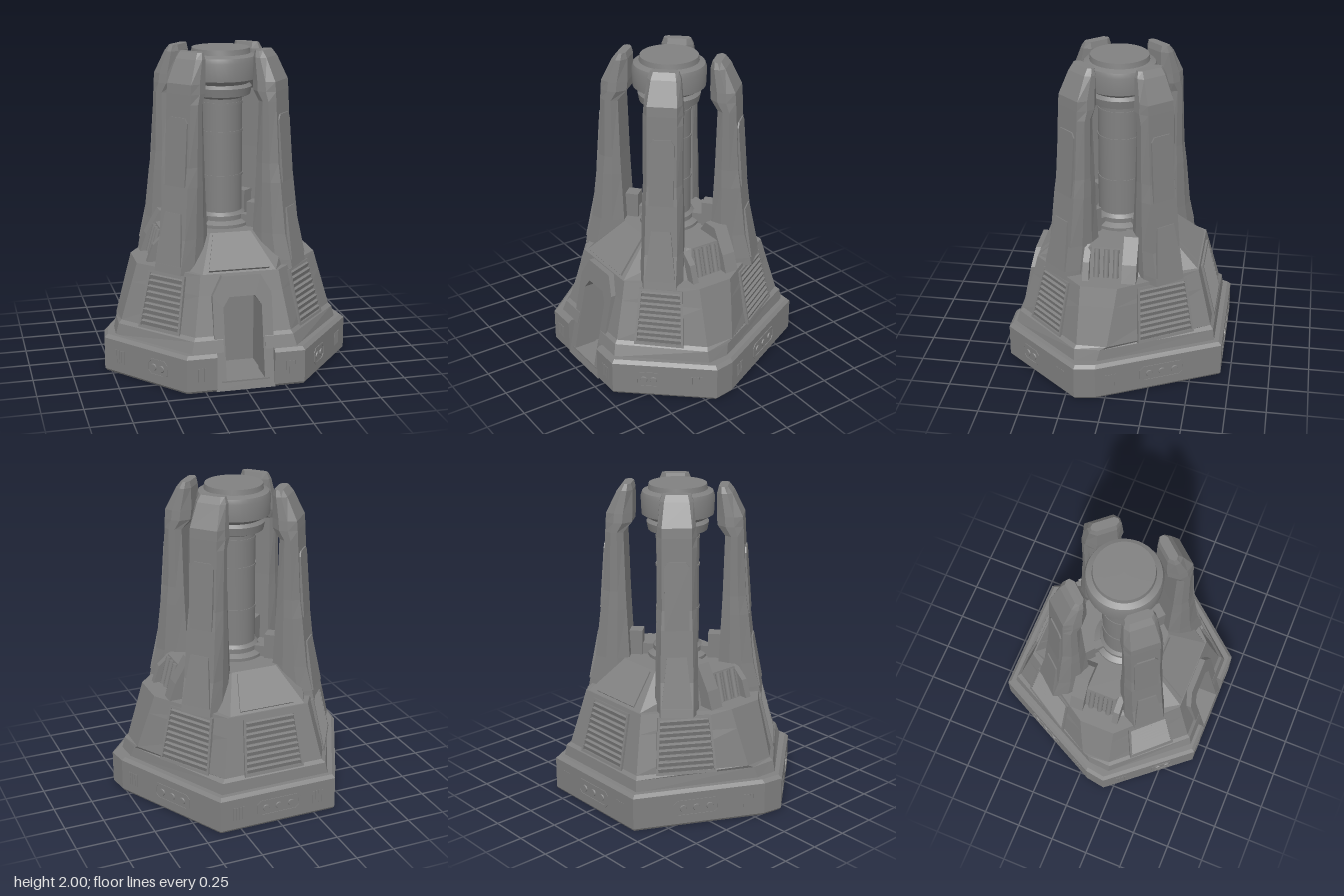
import * as THREE from 'three';
import { toCreasedNormals } from 'three/addons/utils/BufferGeometryUtils.js';

const metal = new THREE.MeshStandardMaterial({ color: 0x808080 });
metal.name = 'grey metal';

const V = (x, y, z) => new THREE.Vector3(x, y, z);
const mirror = (half) => [...half, ...half.map(([x, z]) => [-x, z]).reverse()];

function add(parent, geometry, name, x = 0, y = 0, z = 0) {
  const mesh = new THREE.Mesh(geometry, metal);
  mesh.name = name;
  mesh.position.set(x, y, z);
  parent.add(mesh);
  return mesh;
}

// Joins mirrored cross-sections [y, half outline of [x, z]] with flat sides and caps
function loft(rows) {
  const rings = rows.map(([y, half]) => mirror(half).map(([x, z]) => V(x, y, z)));
  const out = [];
  const tri = (...pts) => pts.forEach((p) => out.push(p.x, p.y, p.z));
  for (let k = 0; k < rings.length - 1; k++) {
    const lo = rings[k], hi = rings[k + 1], n = lo.length;
    for (let i = 0; i < n; i++) {
      const j = (i + 1) % n;
      tri(lo[i], lo[j], hi[j]);
      tri(lo[i], hi[j], hi[i]);
    }
  }
  const cap = (ring, up) => {
    const flat = ring.map((p) => new THREE.Vector2(p.x, -p.z));
    for (const [a, b, c] of THREE.ShapeUtils.triangulateShape(flat, [])) {
      if (up) tri(ring[a], ring[b], ring[c]);
      else tri(ring[a], ring[c], ring[b]);
    }
  };
  cap(rings[0], false);
  cap(rings[rings.length - 1], true);
  const geometry = new THREE.BufferGeometry();
  geometry.setAttribute('position', new THREE.Float32BufferAttribute(out, 3));
  geometry.computeVertexNormals();
  return geometry;
}

// Group lying on a sloped quad: x to the right, y up the slope, z outwards
function faceGroup(parent, name, bl, br, tl, tr) {
  const u = br.clone().sub(bl).add(tr).sub(tl).normalize();
  const rise = tl.clone().add(tr).sub(bl).sub(br);
  const n = u.clone().cross(rise).normalize();
  const group = new THREE.Group();
  group.name = name;
  group.quaternion.setFromRotationMatrix(new THREE.Matrix4().makeBasis(u, n.clone().cross(u), n));
  group.position.copy(bl).add(br).add(tl).add(tr).multiplyScalar(0.25);
  parent.add(group);
  return group;
}

// Face i between two rows, on either side of the model
function rowFace(parent, name, low, high, i, side) {
  const a = i, b = i + 1;
  const at = ([y, half], k) => (k < half.length ? V(half[k][0] * side, y, half[k][1])
    : V(-half[half.length - 1][0] * side, y, half[half.length - 1][1]));
  const [l, r] = side > 0 ? [a, b] : [b, a];
  return faceGroup(parent, name, at(low, l), at(low, r), at(high, l), at(high, r));
}

const polygon = (pts) => new THREE.Shape(pts.map(([x, y]) => new THREE.Vector2(x, y)));
const trapezoid = (wb, wt, h) => [[-wb / 2, -h / 2], [wb / 2, -h / 2], [wt / 2, h / 2], [-wt / 2, h / 2]];

function plate(outline, depth, hole) {
  const shape = polygon(outline);
  if (hole) shape.holes.push(polygon(hole));
  return new THREE.ExtrudeGeometry(shape, { depth, bevelEnabled: false });
}

function addVent(face, w, x) {
  add(face, plate(trapezoid(w, w * 0.87, 0.36), 0.03, trapezoid(w - 0.03, w * 0.87 - 0.03, 0.33)), 'ventFrame', x, -0.02, -0.015);
  for (let i = 0; i < 9; i++) {
    const t = i / 8;
    const slat = add(face, new THREE.BoxGeometry(w * (1 - 0.12 * t) - 0.03, 0.026, 0.018), 'ventSlat', x, -0.165 + 0.29 * t, 0.004);
    slat.rotation.x = 0.5;
  }
}

function addSockets(face, x, count, spacing) {
  const w = spacing * count + 0.04, h = 0.11;
  const rim = (a, b, c) => [[-a + c, -b], [a - c, -b], [a, -b + c], [a, b - c], [a - c, b], [-a + c, b], [-a, b - c], [-a, -b + c]];
  add(face, plate(rim(w / 2, h / 2, 0.025), 0.016, rim(w / 2 - 0.012, h / 2 - 0.012, 0.02)), 'socketFrame', x, 0, -0.012);
  for (let i = 0; i < count; i++) {
    const px = x + (i - (count - 1) / 2) * spacing;
    add(face, new THREE.CylinderGeometry(0.02, 0.028, 0.02, 12).rotateX(Math.PI / 2), 'socket', px, 0, -0.003);
  }
}

function addSlits(face, x) {
  for (let i = 0; i < 4; i++) add(face, new THREE.BoxGeometry(0.011, 0.085, 0.008), 'slit', x + (i - 1.5) * 0.02, 0, 0);
}

export function createModel() {
  const model = new THREE.Group();
  model.name = 'reactorTower';

  // Hexagonal plinth with a doorway notch
  const plan = [[0.13, 0.36], [0.13, 0.56], [0.18, 0.56], [0.18, 0.69], [0.37, 0.69], [0.79, 0.19], [0.77, 0.06], [0.39, -0.69]];
  const scaled = (s) => plan.map(([x, z], i) => (i < 3 ? [x, z] : [i === 3 ? x : x * s, z * s]));
  add(model, loft([[0, scaled(0.985)], [0.015, scaled(1)], [0.22, scaled(1)], [0.24, scaled(0.97)]]), 'plinth');
  add(model, new THREE.BoxGeometry(0.3, 0.06, 0.33), 'threshold', 0, 0.03, 0.515);
  const low = [0.015, plan], high = [0.22, plan];
  for (const side of [1, -1]) {
    addSlits(rowFace(model, 'plinthFront', low, high, 3, side), 0.01 * side);
    const diagonal = rowFace(model, 'plinthFrontDiagonal', low, high, 4, side);
    addSockets(diagonal, -0.1 * side, 2, 0.06);
    addSlits(diagonal, 0.2 * side);
    const rear = rowFace(model, 'plinthRearDiagonal', low, high, 6, side);
    addSockets(rear, 0.02 * side, 3, 0.085);
    addSlits(rear, -0.32 * side);
  }
  const plinthBack = rowFace(model, 'plinthBack', low, high, 7, 1);
  addSockets(plinthBack, 0, 3, 0.085);
  addSlits(plinthBack, -0.27);
  addSlits(plinthBack, 0.27);

  // Sloped hull with side ledges; the first two points of each row form the door recess
  const hull = [
    [0.235, [[0.13, 0.36], [0.13, 0.65], [0.33, 0.65], [0.72, 0.2], [0.71, 0.06], [0.36, -0.64]]],
    [0.31, [[0.13, 0.36], [0.13, 0.63], [0.31, 0.63], [0.70, 0.2], [0.69, 0.04], [0.35, -0.63]]],
    [0.33, [[0.13, 0.36], [0.13, 0.61], [0.30, 0.61], [0.68, 0.19], [0.68, 0.0], [0.33, -0.61]]],
    [0.57, [[0.13, 0.36], [0.13, 0.545], [0.262, 0.545], [0.61, 0.183], [0.61, -0.035], [0.289, -0.55]]],
    [0.57, [[0.13, 0.545], [0.13, 0.545], [0.262, 0.545], [0.61, 0.183], [0.61, -0.035], [0.289, -0.55]]],
    [0.69, [[0.13, 0.515], [0.13, 0.515], [0.245, 0.515], [0.575, 0.18], [0.575, -0.05], [0.27, -0.52]]],
    [0.69, [[0.13, 0.51], [0.13, 0.51], [0.23, 0.51], [0.46, 0.16], [0.46, -0.06], [0.25, -0.51]]],
    [0.88, [[0.1, 0.28], [0.1, 0.28], [0.13, 0.28], [0.41, 0.13], [0.41, -0.08], [0.15, -0.30]]],
  ];
  add(model, loft(hull), 'hull');
  for (const side of [1, -1]) {
    addVent(rowFace(model, 'frontVent', hull[2], hull[5], 2, side), 0.31, -0.01 * side);
    addVent(rowFace(model, 'rearVent', hull[2], hull[5], 4, side), 0.38, 0.03 * side);
    const bay = rowFace(model, 'sideBay', hull[6], hull[7], 3, side);
    for (const x of [-0.06, 0, 0.06]) add(bay, new THREE.CylinderGeometry(0.018, 0.018, 0.18, 10), 'bayPipe', x, 0, 0.005);
  }
  addVent(rowFace(model, 'backVent', hull[2], hull[5], 5, 1), 0.4, 0);

  // Raised roof slopes at front and back
  const roofFront = faceGroup(model, 'frontRoof', V(-0.2, 0.69, 0.51), V(0.2, 0.69, 0.51), V(-0.12, 0.88, 0.28), V(0.12, 0.88, 0.28));
  add(roofFront, plate(trapezoid(0.38, 0.23, 0.27), 0.02), 'roofPlate', 0, 0, -0.005);
  const roofBack = rowFace(model, 'backRoof', hull[6], hull[7], 5, 1);
  add(roofBack, plate(trapezoid(0.36, 0.24, 0.25), 0.015), 'roofPlate', 0, 0, -0.005);

  // Leaning door arch
  const arch = plate(
    [[-0.185, 0], [0.185, 0], [0.185, 0.57], [0.12, 0.685], [-0.12, 0.685], [-0.185, 0.57]], 0.15,
    [[-0.12, 0.06], [0.12, 0.06], [0.12, 0.5], [0.08, 0.56], [-0.08, 0.56], [-0.12, 0.5]]);
  const p = arch.attributes.position;
  for (let i = 0; i < p.count; i++) p.setZ(i, p.getZ(i) + 0.54 - p.getY(i) * 0.2);
  arch.computeVertexNormals();
  add(model, arch, 'doorArch');

  // Central column with its wide cap
  const profile = [[0, 0.86], [0.19, 0.86], [0.19, 0.9], [0.155, 0.92], [0.155, 0.95], [0.135, 0.97], [0.135, 1.69],
    [0.185, 1.71], [0.195, 1.76], [0.175, 1.78], [0.225, 1.81], [0.23, 1.92], [0.22, 1.95], [0.185, 1.965], [0.18, 1.998], [0, 2]];
  const column = new THREE.LatheGeometry(profile.map(([r, y]) => new THREE.Vector2(r, y)), 40);
  add(model, toCreasedNormals(column, 0.5), 'column', 0, 0, 0.02);
  for (const y of [1.2, 1.48, 1.66]) add(model, new THREE.CylinderGeometry(0.139, 0.139, 0.015, 40), 'columnBand', 0, y, 0.02);

  // Four pylons: [y, inner radius, outer radius, outer half width, full half width, inner half width]
  const stations = [
    [0.67, 0.28, 0.555, 0.1, 0.135, 0.11], [0.72, 0.28, 0.545, 0.1, 0.135, 0.11], [0.88, 0.285, 0.505, 0.1, 0.13, 0.105],
    [1.2, 0.3, 0.468, 0.095, 0.125, 0.1], [1.32, 0.305, 0.45, 0.09, 0.12, 0.1], [1.7, 0.315, 0.43, 0.09, 0.12, 0.095],
    [1.76, 0.265, 0.427, 0.09, 0.12, 0.07], [1.82, 0.26, 0.422, 0.09, 0.115, 0.065], [1.96, 0.26, 0.355, 0.075, 0.1, 0.06],
    [2, 0.27, 0.325, 0.065, 0.085, 0.06]];
  const pylonShape = loft(stations.map(([y, ri, ro, wo, wm, wi]) => {
    const c = (ro - ri) * 0.33;
    return [y, [[wo, ro], [wm, ro - c], [wm, ri + c], [wi, ri]]];
  }));
  const outerFace = (group, name, y0, r0, y1, r1) =>
    faceGroup(group, name, V(-0.1, y0, r0), V(0.1, y0, r0), V(-0.1, y1, r1), V(0.1, y1, r1));
  for (const degrees of [49, 131, 229, 311]) {
    const pylon = new THREE.Group();
    pylon.name = 'pylon';
    pylon.position.z = 0.005;
    pylon.rotation.y = THREE.MathUtils.degToRad(degrees);
    model.add(pylon);
    add(pylon, pylonShape, 'pylonBody');
    const upper = outerFace(pylon, 'upperPanel', 1.2, 0.465, 1.62, 0.433);
    add(upper, plate([[-0.075, -0.21], [0.075, -0.21], [0.075, 0.18], [0.055, 0.21], [-0.055, 0.21], [-0.075, 0.18]], 0.018), 'panelPlate', 0, 0, -0.008);
    const lower = outerFace(pylon, 'lowerPanel', 0.72, 0.543, 1.04, 0.485);
    add(lower, plate(trapezoid(0.19, 0.12, 0.32), 0.018), 'panelPlate', 0, 0, -0.008);
    // Braces between the pylon foot and the column
    add(pylon, new THREE.BoxGeometry(0.09, 0.2, 0.12), 'footBrace', 0, 0.94, 0.27);
    add(pylon, new THREE.BoxGeometry(0.05, 0.1, 0.14), 'columnBrace', 0, 0.9, 0.2);
  }

  // Wedge fins framing each side bay: [height, thickness, z]
  for (const [top, thick, z] of [[0.95, 0.09, -0.11], [0.88, 0.04, 0.16]]) {
    const wedge = plate([[0.22, 0.69], [0.51, 0.69], [0.47, 0.8], [0.38, top], [0.28, top], [0.22, 0.87]], thick);
    wedge.translate(0, 0, -thick / 2);
    for (const side of [1, -1]) {
      const fin = add(model, wedge, 'sideFin', 0, 0, z);
      if (side < 0) fin.rotation.y = Math.PI;
    }
  }
  return model;
}
